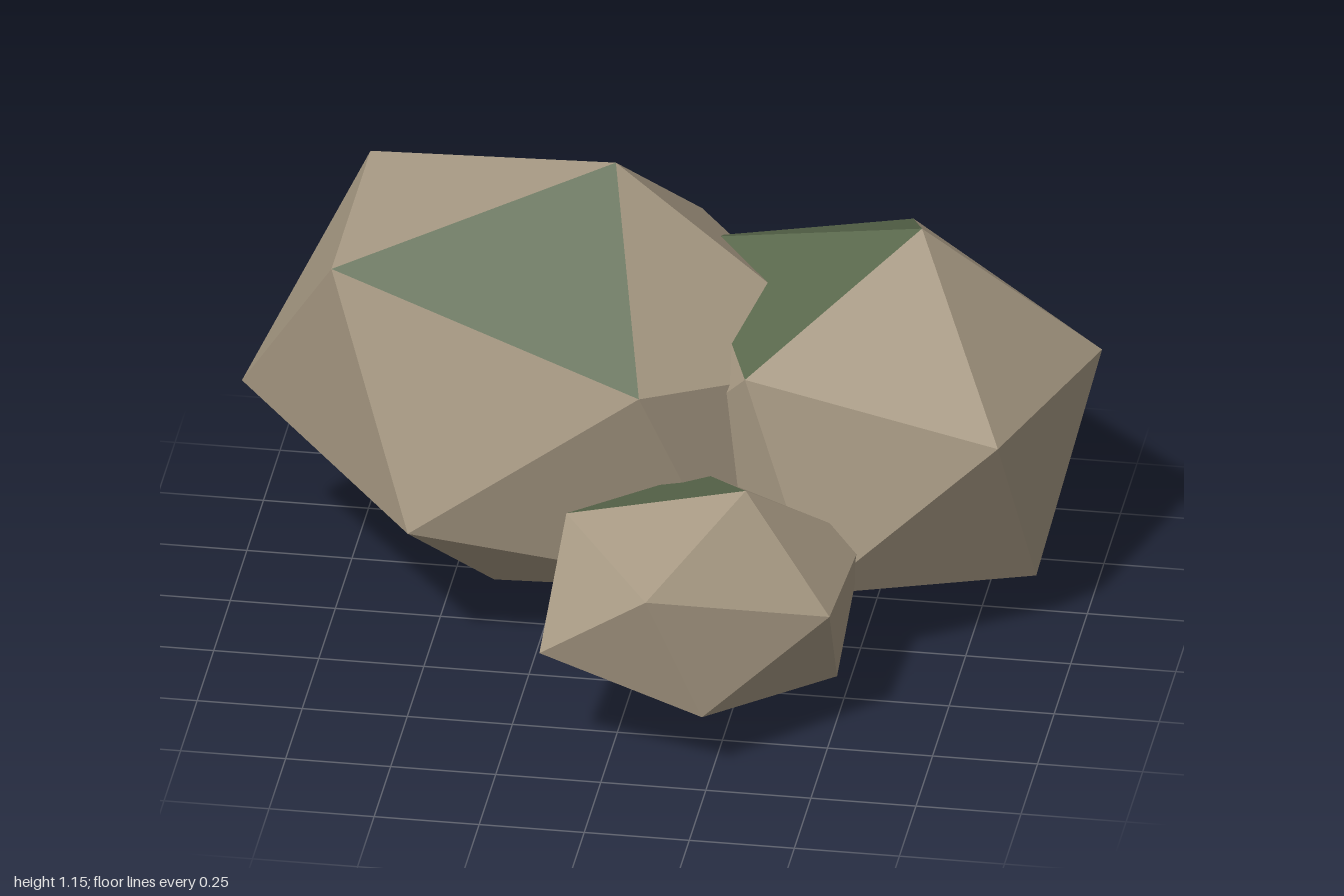
import * as THREE from 'three';

const v = (p) => new THREE.Vector3(...p);

// One boulder: an icosahedron stretched along three skewed axes.
// moss lists the directions, before stretching, of the mossy faces.
function boulder(name, centre, [ax, ay, az], moss, materials) {
  const geo = new THREE.IcosahedronGeometry(Math.hypot(1, (1 + Math.sqrt(5)) / 2), 0);
  const pos = geo.attributes.position;
  const mossDirs = moss.map((d) => v(d).normalize());
  const p = new THREE.Vector3();
  geo.clearGroups();
  for (let i = 0; i < pos.count; i += 3) {
    const mid = new THREE.Vector3();
    for (let k = 0; k < 3; k++) mid.add(p.fromBufferAttribute(pos, i + k));
    mid.normalize();
    geo.addGroup(i, 3, mossDirs.some((d) => d.dot(mid) > 0.98) ? 1 : 0);
  }
  geo.applyMatrix4(new THREE.Matrix4().makeBasis(v(ax), v(ay), v(az)));
  geo.computeVertexNormals();
  const mesh = new THREE.Mesh(geo, materials);
  mesh.name = name;
  mesh.position.set(...centre);
  return mesh;
}

export function createModel() {
  const stone = new THREE.MeshStandardMaterial({ color: 0xa89a84, flatShading: true });
  stone.name = 'stone';
  const mossGreen = new THREE.MeshStandardMaterial({ color: 0x5a684c, flatShading: true });
  mossGreen.name = 'moss';
  const materials = [stone, mossGreen];

  const group = new THREE.Group();
  group.name = 'boulders';
  group.add(
    // Tall boulder on the right side
    boulder('largeBoulder', [-0.255, 0.588, -0.175],
      [[0.3, -0.241, 0], [0.275, 0.203, 0], [0, 0, 0.295]],
      [[-1, 1, 1]], materials),
    // Boulder on the left side
    boulder('mediumBoulder', [0.465, 0.498, -0.28],
      [[0.198, -0.2, -0.103], [0.208, 0.181, -0.057], [0.105, -0.036, 0.272]],
      [[-1, 1, -1], [-2.618, 1, 0]], materials),
    // Small boulder in front
    boulder('smallBoulder', [0.185, 0.335, 0.4],
      [[0.09, 0.058, -0.185], [0.009, 0.141, 0.114], [0.193, -0.071, -0.003]],
      [[1, 1, -1]], materials),
  );
  return group;
}
